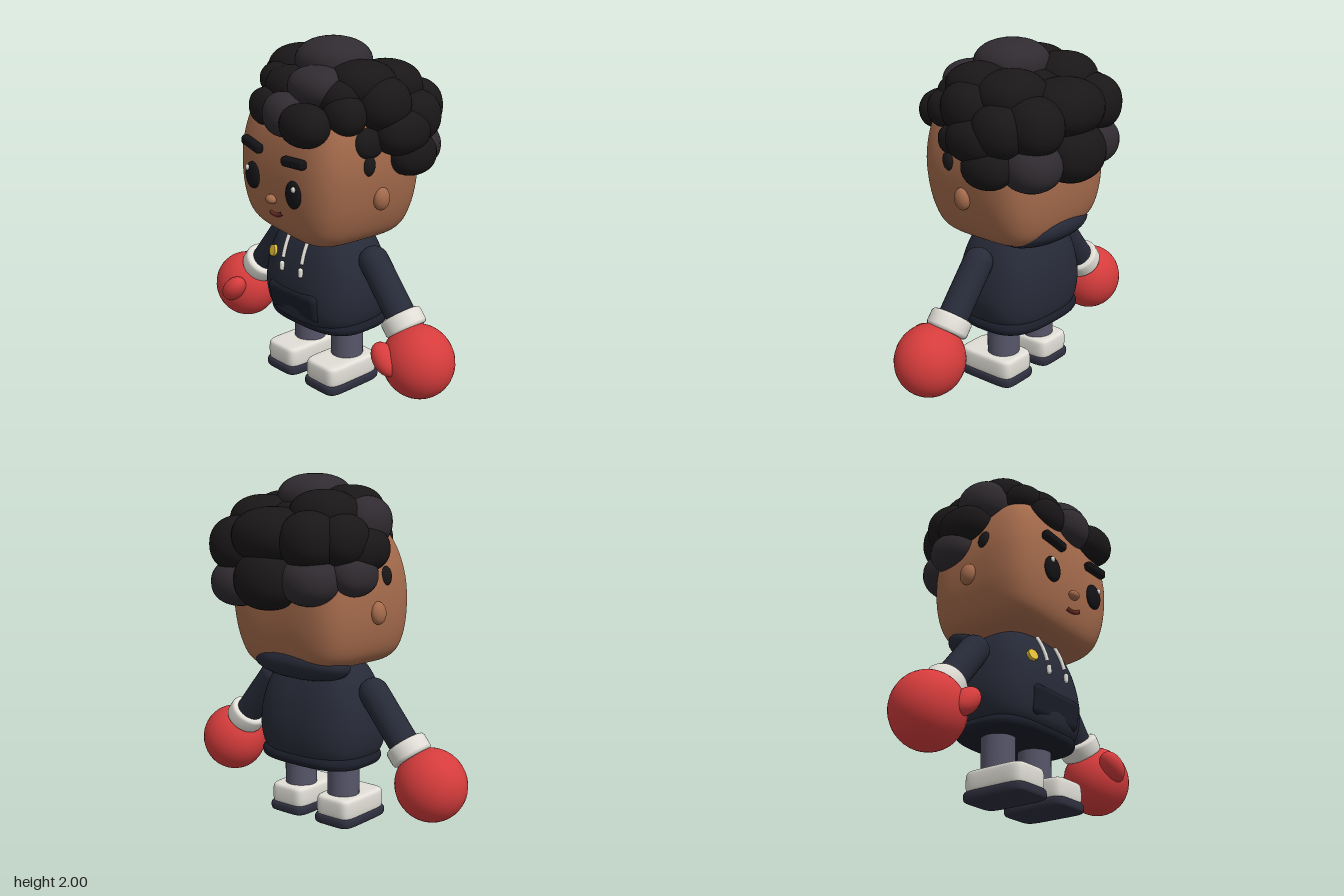
import * as THREE from 'three';
import { RoundedBoxGeometry } from 'three/addons/geometries/RoundedBoxGeometry.js';

const mat = (color) => new THREE.MeshStandardMaterial({ color });
const M = {
  skin: mat(0xa56b4c), hair: mat(0x1a1718), hairLight: mat(0x302b30), black: mat(0x131317),
  hoodie: mat(0x272a38), trim: mat(0x1b1e2a), white: mat(0xe0ded6), glove: mat(0xd63c3c),
  trousers: mat(0x56566a), sole: mat(0x2e2f3e), gold: mat(0xe6c238), lip: mat(0x6a2c26),
};

function add(parent, name, geometry, material, x = 0, y = 0, z = 0) {
  const mesh = new THREE.Mesh(geometry, material);
  mesh.name = name;
  mesh.position.set(x, y, z);
  parent.add(mesh);
  return mesh;
}

// Unit ball pushed slightly towards a cube
const softBall = new THREE.SphereGeometry(1, 28, 20);
{
  const p = softBall.attributes.position, normals = softBall.attributes.normal;
  const v = new THREE.Vector3(), e = 2.2;
  for (let i = 0; i < p.count; i++) {
    v.fromBufferAttribute(p, i);
    const n = (Math.abs(v.x) ** e + Math.abs(v.y) ** e + Math.abs(v.z) ** e) ** (1 / e);
    p.setXYZ(i, v.x / n, v.y / n, v.z / n);
    v.set(...v.toArray().map((c) => Math.sign(c) * Math.abs(c) ** (e - 1))).normalize();
    normals.setXYZ(i, v.x, v.y, v.z);
  }
}
const roundBall = new THREE.SphereGeometry(1, 32, 24);

function ball(parent, name, material, [x, y, z], [rx, ry, rz], geometry = roundBall) {
  const mesh = add(parent, name, geometry, material, x, y, z);
  mesh.scale.set(rx, ry, rz);
  return mesh;
}

// Stack of rounded-square rings; rows are [y, half width, half depth]
function loft(rows, power, steps = 40, seg = 64) {
  const curve = new THREE.CatmullRomCurve3(
    rows.map(([y, rx, rz]) => new THREE.Vector3(rx, y, rz)), false, 'centripetal');
  const pos = [], idx = [];
  const bend = (c) => Math.sign(c) * Math.abs(c) ** (2 / power);
  for (let i = 0; i <= steps; i++) {
    const r = curve.getPoint(i / steps);
    for (let j = 0; j < seg; j++) {
      const a = (j / seg) * Math.PI * 2;
      pos.push(Math.max(r.x, 0) * bend(Math.sin(a)), r.y, Math.max(r.z, 0) * bend(Math.cos(a)));
      if (i === steps) continue;
      const k = (j + 1) % seg, p = i * seg, q = p + seg;
      idx.push(p + j, p + k, q + k, p + j, q + k, q + j);
    }
  }
  const g = new THREE.BufferGeometry();
  g.setAttribute('position', new THREE.Float32BufferAttribute(pos, 3));
  g.setIndex(idx);
  g.computeVertexNormals();
  return g;
}

// Flat-bottomed slab with rounded rims
const slab = (w, d, y0, y1, r, power) => loft([
  [y0, 0, 0], [y0, w - r, d - r], [y0 + r * 0.3, w - r * 0.3, d - r * 0.3], [y0 + r, w, d],
  [y1 - r, w, d], [y1 - r * 0.3, w - r * 0.3, d - r * 0.3], [y1, w - r, d - r], [y1, 0, 0],
], power, 42);

function buildHead() {
  const head = new THREE.Group();
  head.name = 'head';
  // Slight tilt and turn about the neck
  head.rotation.set(0, -0.06, -0.08);
  head.position.set(-0.0735, 0.003, 0);
  add(head, 'face', loft([
    [0.92, 0, 0], [0.92, 0.25, 0.24], [0.935, 0.315, 0.3], [0.99, 0.372, 0.345],
    [1.1, 0.413, 0.375], [1.25, 0.435, 0.388], [1.4, 0.435, 0.382], [1.55, 0.405, 0.352],
    [1.65, 0.36, 0.305], [1.73, 0.26, 0.22], [1.77, 0, 0],
  ], 4.2, 60, 96), M.skin, 0, 0, 0.05);
  ball(head, 'nose', M.skin, [0, 1.15, 0.445], [0.036, 0.026, 0.028]);
  const smile = new THREE.QuadraticBezierCurve3(new THREE.Vector3(-0.03, 1.062, 0.418),
    new THREE.Vector3(0.03, 1.05, 0.422), new THREE.Vector3(0.075, 1.088, 0.42));
  add(head, 'mouth', new THREE.TubeGeometry(smile, 20, 0.012, 8), M.lip);
  for (const s of [-1, 1]) {
    ball(head, 'eye', M.black, [s * 0.185, 1.232, 0.437], [0.062, 0.077, 0.026]);
    ball(head, 'eyeHighlight', M.white, [s * 0.21, 1.273, 0.459], [0.015, 0.017, 0.01]);
    const brow = add(head, 'eyebrow', new RoundedBoxGeometry(0.175, 0.055, 0.05, 4, 0.02), M.black,
      s * 0.188, 1.412, 0.445);
    brow.rotation.set(0, s * 0.06, s * 0.11);
    ball(head, 'ear', M.skin, [s * 0.44, 1.215, 0.04], [0.038, 0.064, 0.05]);
    ball(head, 'sideburn', M.hair, [s * 0.428, 1.41, 0.135], [0.025, 0.055, 0.04]);
  }
  return head;
}

function buildHair() {
  const hair = new THREE.Group();
  hair.name = 'hair';
  ball(hair, 'scalp', M.hair, [0.05, 1.58, -0.05], [0.4, 0.28, 0.33]);
  const curl = (material, ...n) =>
    ball(hair, 'curl', material, n.slice(0, 3), n.slice(3), softBall);
  // Crown, fringe, nape and temple curls: centre, then radii
  curl(M.hairLight, 0.06, 1.865, 0.05, 0.215, 0.135, 0.2);
  curl(M.hairLight, 0.16, 1.765, 0.26, 0.17, 0.11, 0.14);
  curl(M.hair, -0.06, 1.74, 0.25, 0.15, 0.11, 0.13);
  curl(M.hair, -0.13, 1.63, 0.36, 0.115, 0.105, 0.09);
  curl(M.hairLight, 0.05, 1.62, 0.4, 0.125, 0.12, 0.1);
  curl(M.hair, 0.23, 1.59, 0.41, 0.15, 0.115, 0.115);
  curl(M.hair, 0.36, 1.64, 0.25, 0.115, 0.11, 0.11);
  curl(M.hair, 0.06, 1.665, -0.3, 0.24, 0.16, 0.21);
  curl(M.hair, 0.05, 1.43, -0.36, 0.2, 0.165, 0.165);
  curl(M.hair, 0.43, 1.49, 0.15, 0.06, 0.085, 0.1);
  // Paired curls, following the tilt of the head
  for (const s of [-1, 1]) {
    const sideTone = s < 0 ? M.hairLight : M.hair;
    const pair = (material, x, y, ...rest) =>
      curl(material, 0.06 + s * x, y - s * x * 0.08, ...rest);
    pair(M.hair, 0.235, 1.79, 0.07, 0.18, 0.13, 0.19);
    pair(M.hair, 0.22, 1.755, -0.13, 0.2, 0.145, 0.19);
    pair(M.hair, 0.23, 1.74, 0.21, 0.13, 0.1, 0.13);
    pair(sideTone, 0.355, 1.71, 0.04, 0.15, 0.145, 0.16);
    pair(M.hair, 0.42, 1.565, -0.05, 0.125, 0.125, 0.175);
    pair(sideTone, 0.425, 1.43, -0.13, 0.11, 0.115, 0.15);
    pair(M.hair, 0.38, 1.62, -0.18, 0.14, 0.145, 0.155);
    pair(M.hair, 0.26, 1.63, -0.3, 0.16, 0.16, 0.17);
    pair(M.hairLight, 0.26, 1.415, -0.3, 0.165, 0.135, 0.155);
  }
  return hair;
}

function buildBody() {
  const body = new THREE.Group();
  body.name = 'hoodie';
  add(body, 'torso', loft([
    [0.38, 0, 0], [0.38, 0.29, 0.22], [0.43, 0.34, 0.262], [0.55, 0.367, 0.28], [0.7, 0.35, 0.268],
    [0.82, 0.31, 0.237], [0.92, 0.25, 0.19], [0.96, 0.19, 0.14], [0.97, 0, 0],
  ], 2.8), M.hoodie, 0, 0, 0.05);
  add(body, 'hem', slab(0.35, 0.255, 0.355, 0.425, 0.03, 3), M.trim, 0, 0, 0.035);
  const hood = ball(body, 'hood', M.hoodie, [0, 0.95, -0.14], [0.315, 0.1, 0.18], softBall);
  hood.rotation.x = 0.25;
  const pocket = add(body, 'pocket', new RoundedBoxGeometry(0.41, 0.175, 0.08, 5, 0.038), M.trim,
    0, 0.515, 0.29);
  pocket.rotation.x = 0.2;
  // Drawstrings
  for (const s of [-1, 1]) {
    const path = new THREE.QuadraticBezierCurve3(new THREE.Vector3(s * 0.08, 0.92, 0.245),
      new THREE.Vector3(s * 0.08, 0.84, 0.295), new THREE.Vector3(s * 0.08, 0.76, 0.312));
    add(body, 'drawstring', new THREE.TubeGeometry(path, 16, 0.011, 10), M.white);
    add(body, 'drawstringTip', new THREE.CapsuleGeometry(0.014, 0.03, 6, 12), M.white,
      s * 0.08, 0.71, 0.322);
  }
  const button = add(body, 'button', new THREE.CylinderGeometry(0.033, 0.033, 0.02, 28), M.gold,
    -0.19, 0.765, 0.292);
  button.rotation.set(Math.PI / 2 - 0.25, 0, 0.2);
  return body;
}

function buildArm(s) {
  const arm = new THREE.Group();
  arm.name = s > 0 ? 'leftArm' : 'rightArm';
  const sleeve = add(arm, 'sleeve', new THREE.CapsuleGeometry(0.085, 0.32, 8, 28), M.hoodie,
    s * 0.478, 0.67, 0.04);
  const rim = [[0, -0.05], [0.1, -0.05], [0.113, -0.044], [0.119, -0.03], [0.119, 0.03],
    [0.113, 0.044], [0.1, 0.05], [0, 0.05]].map((p) => new THREE.Vector2(...p));
  const cuff = add(arm, 'cuff', new THREE.LatheGeometry(rim, 36), M.white, s * 0.615, 0.505, 0.045);
  sleeve.rotation.z = cuff.rotation.z = s * 0.685;
  ball(arm, 'glove', M.glove, [s * 0.75, 0.33, 0.067], [0.204, 0.204, 0.192]);
  const thumb = ball(arm, 'thumb', M.glove, [s * 0.663, 0.365, 0.235], [0.062, 0.1, 0.07]);
  thumb.rotation.z = s * 0.75;
  return arm;
}

function buildLeg(s) {
  const leg = new THREE.Group();
  leg.name = s > 0 ? 'leftLeg' : 'rightLeg';
  add(leg, 'trouserLeg', new THREE.CylinderGeometry(0.094, 0.094, 0.28, 32), M.trousers,
    s * 0.162, 0.27, 0.04);
  add(leg, 'shoe', slab(0.122, 0.188, 0.04, 0.165, 0.022, 6), M.white, s * 0.172, 0, 0.092);
  add(leg, 'sole', slab(0.132, 0.2, 0, 0.055, 0.015, 6), M.sole, s * 0.172, 0, 0.092);
  return leg;
}

export function createModel() {
  const model = new THREE.Group();
  model.name = 'boxer';
  model.add(buildHead(), buildHair(), buildBody());
  for (const s of [-1, 1]) model.add(buildArm(s), buildLeg(s));
  return model;
}
